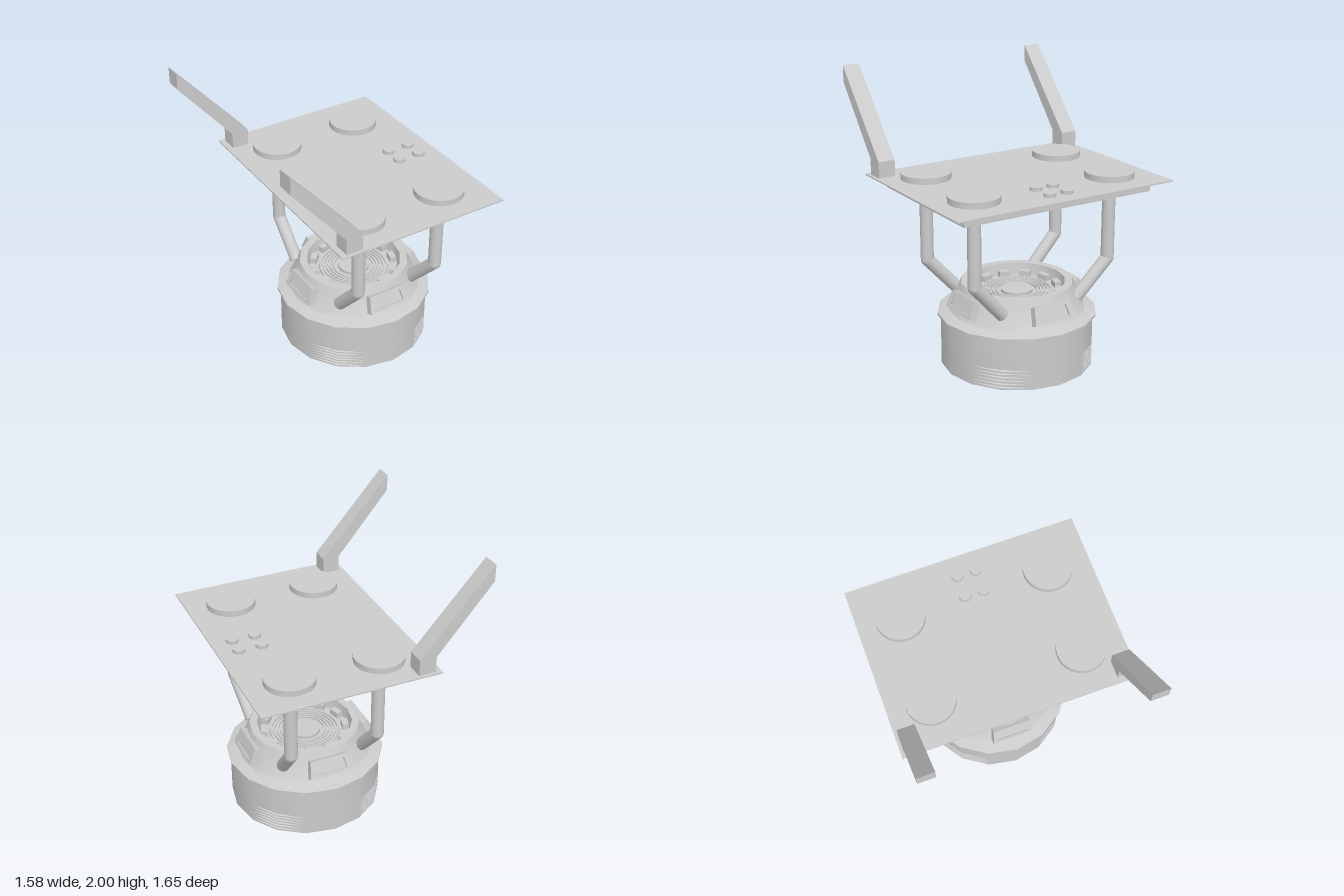
import * as THREE from 'three';
import { toCreasedNormals } from 'three/addons/utils/BufferGeometryUtils.js';

const CX = 0.16; // centre of the round base
const SIDES = 16;

export function createModel() {
  const root = new THREE.Group();
  const mat = new THREE.MeshStandardMaterial({ color: 0xcccccc });

  const add = (name, geo, x = 0, y = 0, z = 0, parent = root) => {
    const m = new THREE.Mesh(geo, mat);
    m.name = name;
    m.position.set(x, y, z);
    parent.add(m);
    return m;
  };
  const box = (name, x0, x1, y0, y1, z0, z1) =>
    add(name, new THREE.BoxGeometry(x1 - x0, y1 - y0, z1 - z0), (x0 + x1) / 2, (y0 + y1) / 2, (z0 + z1) / 2);
  const lathe = (pts, sides = SIDES) =>
    new THREE.LatheGeometry(pts.map(([r, y]) => new THREE.Vector2(r, y)), sides);
  const shapeOf = (pts) => new THREE.Shape(pts.map(([x, y]) => new THREE.Vector2(x, y)));

  // Drum: grooves near the foot, fading out towards the four flat sides
  const R = 0.53, RG = 0.512, profile = [[0, 0], [R, 0]];
  for (let i = 0; i < 6; i++) {
    const y = 0.012 + i * 0.024;
    profile.push([R, y], [RG, y + 0.004], [RG, y + 0.011], [R, y + 0.015]);
  }
  profile.push([R, 0.36]);
  const drum = lathe(profile);
  const p = drum.attributes.position;
  for (let i = 0; i < p.count; i++) {
    const x = p.getX(i), z = p.getZ(i), r = Math.hypot(x, z);
    if (Math.abs(r - RG) > 0.001) continue;
    const diagonal = Math.min(Math.abs(x), Math.abs(z)) / r > 0.5;
    if (!diagonal) { p.setX(i, x * R / r); p.setZ(i, z * R / r); }
  }
  add('baseDrum', toCreasedNormals(drum, 0.5), CX);

  // Flange, sloping shoulder, rim and recessed floor
  add('baseShoulder', toCreasedNormals(lathe([
    [0.5, 0.358], [0.552, 0.358], [0.552, 0.374], [0.475, 0.393], [0.463, 0.405],
    [0.388, 0.582], [0.335, 0.582], [0.32, 0.5], [0, 0.5],
  ]), 0.5), CX);

  // Concentric grille with hub inside the recess
  const grille = [[0.25, 0.495]];
  for (let r = 0.245; r > 0.13; r -= 0.024) {
    grille.push([r, 0.515], [r - 0.012, 0.515], [r - 0.012, 0.503], [r - 0.024, 0.503]);
  }
  add('grilleRings', toCreasedNormals(lathe(grille, 24), 0.5), CX);
  add('grilleHub', new THREE.CylinderGeometry(0.11, 0.11, 0.025, 20), CX, 0.51);
  for (let i = 0; i < 12; i++) {
    const a = (i + 0.5) * Math.PI / 6;
    const b = add('recessBlock', new THREE.BoxGeometry(0.08, 0.045, 0.045),
      CX + Math.sin(a) * 0.288, 0.52, Math.cos(a) * 0.288);
    b.rotation.y = a;
  }

  // Four framed panels on the shoulder
  const trapezoid = (bottom, top, y0, y1) => [[-bottom, y0], [bottom, y0], [top, y1], [-top, y1]];
  const frame = shapeOf(trapezoid(0.155, 0.138, -0.062, 0.062));
  const opening = trapezoid(0.118, 0.104, -0.042, 0.038);
  frame.holes.push(new THREE.Path(opening.map(([x, y]) => new THREE.Vector2(x, y))));
  const frameGeo = new THREE.ExtrudeGeometry(frame, { depth: 0.075, bevelEnabled: false });
  const paneGeo = new THREE.ExtrudeGeometry(shapeOf(opening), { depth: 0.06, bevelEnabled: false });
  for (let k = 0; k < 4; k++) {
    const side = new THREE.Group(), tilt = new THREE.Group();
    side.name = 'shoulderPanel';
    side.position.x = CX;
    side.rotation.y = k * Math.PI / 2;
    tilt.position.set(0, 0.487, 0.428);
    tilt.rotation.x = -0.4;
    side.add(tilt);
    add('panelFrame', frameGeo, 0, 0, -0.05, tilt);
    add('panelPane', paneGeo, 0, 0, -0.05, tilt);
    root.add(side);
  }

  // Bent legs from the shoulder up to the table
  const rod = (name, a, b) => {
    const d = b.clone().sub(a);
    const m = add(name, new THREE.CylinderGeometry(0.045, 0.045, d.length(), 20));
    m.position.copy(a).addScaledVector(d, 0.5);
    m.quaternion.setFromUnitVectors(new THREE.Vector3(0, 1, 0), d.normalize());
  };
  for (const s of [-1, 1]) {
    for (const [x, footX] of [[-0.145, -0.14], [0.48, 0.445]]) {
      const knee = new THREE.Vector3(x, 0.74, s * 0.53);
      rod('legUpper', knee, new THREE.Vector3(x, 1.24, s * 0.53));
      rod('legLower', new THREE.Vector3(footX, 0.487, s * 0.298), knee);
      add('legKnee', new THREE.SphereGeometry(0.045, 20, 12), knee.x, knee.y, knee.z);
    }
  }

  // Table: thick core below a thin top plate
  box('tableCore', -0.345, 0.68, 1.235, 1.312, -0.72, 0.72);
  box('tableTop', -0.45, 0.787, 1.31, 1.319, -0.825, 0.825);

  // Round plates and knobs on the table
  for (const s of [-1, 1]) {
    for (const x of [-0.143, 0.48])
      add('roundPlate', new THREE.CylinderGeometry(0.17, 0.17, 0.045, 24), x, 1.339, s * 0.528);
    for (const x of [0.483, 0.642])
      add('knob', new THREE.CylinderGeometry(0.042, 0.042, 0.028, 20), x, 1.33, s * 0.066);
  }

  // Slanted arms at one end of the table
  const arm = new THREE.ExtrudeGeometry(shapeOf([
    [-0.41, 1.317], [-0.29, 1.317], [-0.29, 1.432], [-0.79, 2], [-0.79, 1.885], [-0.41, 1.43],
  ]), { depth: 0.12, bevelEnabled: false });
  add('leftArm', arm, 0, 0, 0.682);
  add('rightArm', arm, 0, 0, -0.802);

  return root;
}
